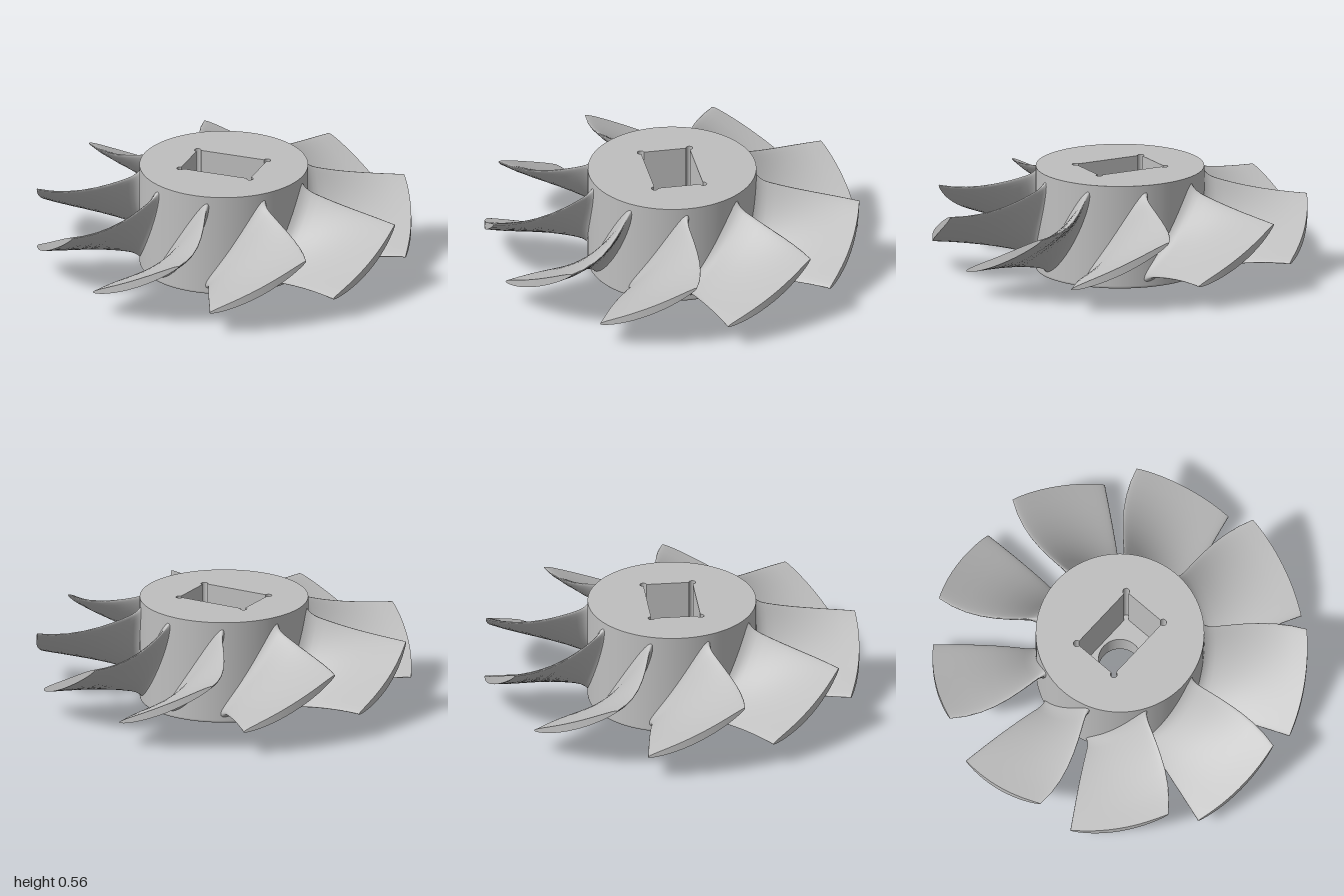
import * as THREE from 'three';

const BLADES = 9, HUB_R = 0.45, HUB_H = 0.565, BORE_R = 0.115, FLOOR_Y = 0.15;
const rad = THREE.MathUtils.degToRad;

// Disc with one hole, extruded upwards from y0 to y1
function plate(radius, hole, y0, y1) {
  const shape = new THREE.Shape().absarc(0, 0, radius, 0, Math.PI * 2);
  shape.holes.push(hole);
  const geo = new THREE.ExtrudeGeometry(shape, { depth: y1 - y0, bevelEnabled: false, curveSegments: 64 });
  return geo.rotateX(-Math.PI / 2).translate(0, y0, 0);
}

// Rectangle with round relief cuts at its corners
function pocketOutline(w, h, r) {
  const path = new THREE.Path();
  [[w, -h], [w, h], [-w, h], [-w, -h]].forEach(([x, y], k) => {
    const start = -Math.PI + k * Math.PI / 2;
    path.absarc(x, y, r, start, start + Math.PI * 1.5);
  });
  path.closePath();
  return path;
}

// Twisted, cambered blade lofted from lens sections on cylinders around the hub axis
function bladeGeometry() {
  const N = 40;
  const radii = [0.444, 0.45, 0.457, 0.468, 0.485, 0.51, 0.55, 0.61, 0.68, 0.76, 0.84, 0.92, 1];
  const pos = [], idx = [];

  const section = (r) => {
    const f = Math.max(0, (r - HUB_R) / (1 - HUB_R));
    const g = (1 - f) ** 2;
    const yTop = 0.387 + 0.115 * g, yLow = 0.132 - 0.075 * g;
    const aTop = rad(1.7 - 9.3 * f + 11.1 * f * f);
    const aLow = rad(39 - 8 * f + 2.5 * f * f);
    const sag = 0.018 + 0.035 * (1 - f);
    const half = 0.018 + 0.008 * (1 - f);
    // Fillet where the blade meets the hub
    const fillet = 0.028 * Math.max(0, 1 - (r - 0.444) / 0.07) ** 2.5 + 0.003;
    const arc = r * (aLow - aTop);
    for (let j = 0; j < N; j++) {
      const phi = j / N * Math.PI * 2;
      const u = (1 - Math.cos(phi)) / 2;
      const dy = yLow - yTop - sag * 4 * (1 - 2 * u);
      const len = Math.hypot(arc, dy);
      const out = (half + fillet) * Math.sin(phi), along = -fillet * Math.cos(phi);
      const s = arc * u + (-dy * out + arc * along) / len;
      const y = yTop + (yLow - yTop) * u - sag * 4 * u * (1 - u) + (arc * out + dy * along) / len;
      const a = aTop + s / r;
      pos.push(r * Math.cos(a), y, r * Math.sin(a));
    }
  };

  radii.forEach(section);
  for (let i = 0; i < radii.length - 1; i++) {
    for (let j = 0; j < N; j++) {
      const a = i * N + j, b = i * N + (j + 1) % N;
      idx.push(a, b, a + N, b, b + N, a + N);
    }
  }
  // Tip face with its own vertices for a sharp edge
  const base = radii.length * N;
  section(1);
  for (let j = 0; j < N / 2; j++) {
    const a = base + j, b = base + j + 1, c = base + N - j - 1, d = base + (N - j) % N;
    idx.push(a, b, c);
    if (j > 0) idx.push(a, c, d);
  }
  const geo = new THREE.BufferGeometry();
  geo.setAttribute('position', new THREE.Float32BufferAttribute(pos, 3));
  geo.setIndex(idx);
  geo.computeVertexNormals();
  return geo;
}

export function createModel() {
  const model = new THREE.Group();
  model.name = 'impeller';
  const metal = new THREE.MeshStandardMaterial({ color: 0xbfbfbf });
  metal.name = 'grey metal';
  const add = (name, geo) => {
    const mesh = new THREE.Mesh(geo, metal);
    mesh.name = name;
    model.add(mesh);
    return mesh;
  };

  // Hub: smooth outer wall, upper block with pocket, lower block with bore
  const wall = [[0.438, 0], [0.446, 0.003], [0.449, 0.008], [HUB_R, 0.015], [HUB_R, HUB_H]];
  add('hubWall', new THREE.LatheGeometry(wall.map(([x, y]) => new THREE.Vector2(x, y)), 128));
  add('hubTop', plate(HUB_R - 0.0005, pocketOutline(0.198, 0.132, 0.018), FLOOR_Y, HUB_H));
  const bore = new THREE.Path().absarc(0, 0, BORE_R, 0, Math.PI * 2);
  add('hubBase', plate(0.438, bore, 0, FLOOR_Y));

  // Ring of blades
  const blade = bladeGeometry();
  for (let k = 0; k < BLADES; k++) {
    add('blade' + (k + 1), blade).rotation.y = -k * Math.PI * 2 / BLADES;
  }
  return model;
}
